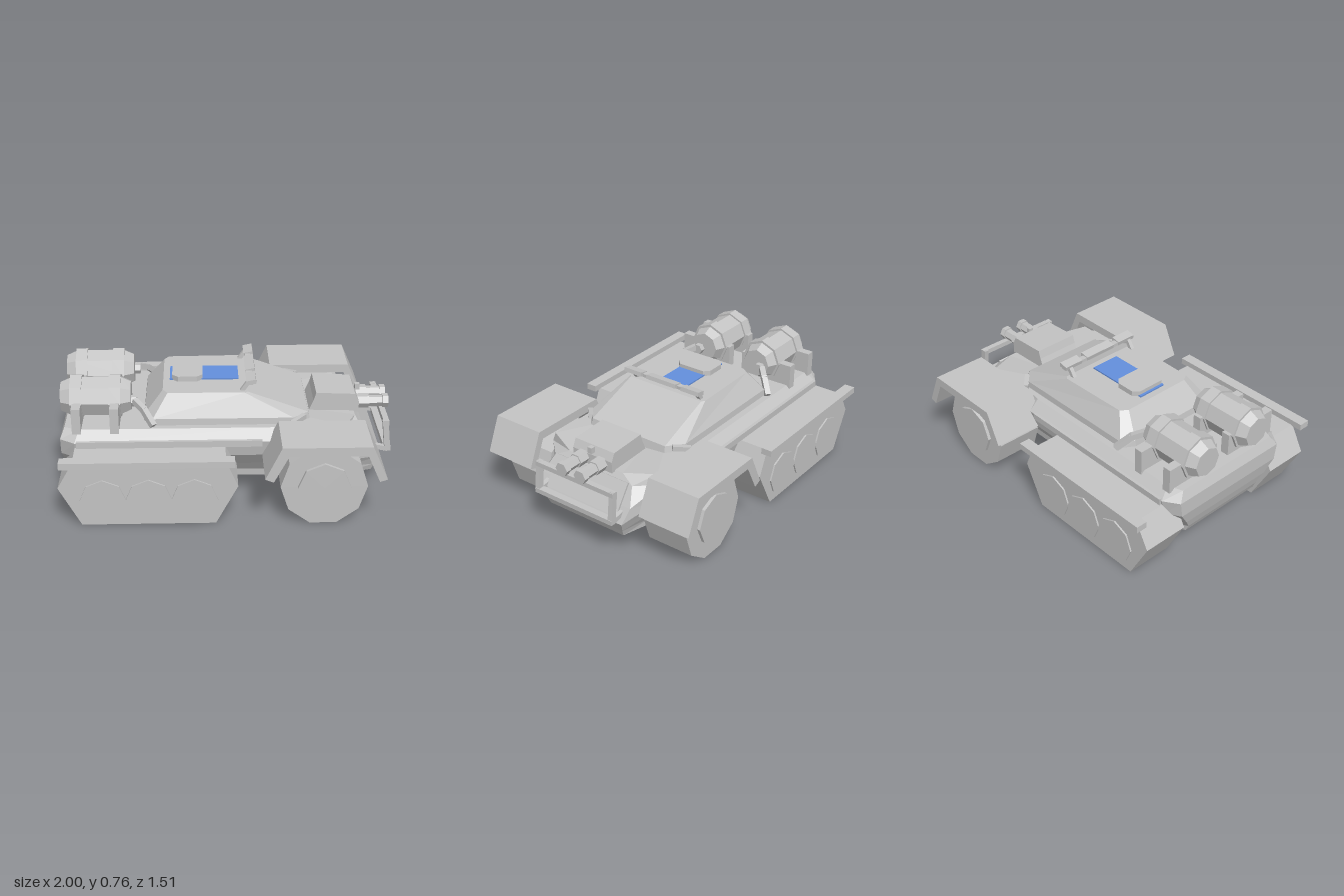
import * as THREE from 'three';

export function createModel() {
  const model = new THREE.Group();
  model.name = 'armouredHalfTrack';
  const grey = new THREE.MeshStandardMaterial({ color: 0xc4c4c4, flatShading: true });
  grey.name = 'hull grey';
  const blue = new THREE.MeshStandardMaterial({ color: 0x6490dd, flatShading: true });
  blue.name = 'panel blue';

  function add(name, geo, mat = grey) {
    const mesh = new THREE.Mesh(geo, mat);
    mesh.name = name;
    model.add(mesh);
    return mesh;
  }
  // Box given by its limits on each axis
  function box(name, x0, x1, y0, y1, z0, z1, mat) {
    const geo = new THREE.BoxGeometry(x1 - x0, y1 - y0, Math.abs(z1 - z0));
    geo.translate((x0 + x1) / 2, (y0 + y1) / 2, (z0 + z1) / 2);
    return add(name, geo, mat);
  }
  // Rectangular bar between two points
  function beam(name, a, b, w, d = w) {
    const p = new THREE.Vector3(...a), q = new THREE.Vector3(...b);
    const mesh = add(name, new THREE.BoxGeometry(w, d, p.distanceTo(q)));
    mesh.position.copy(p).add(q).multiplyScalar(0.5);
    mesh.lookAt(q);
  }
  // Side profile extruded between two z values
  function sideProfile(name, points, z0, z1) {
    const shape = new THREE.Shape(points.map(([x, y]) => new THREE.Vector2(x, y)));
    const geo = new THREE.ExtrudeGeometry(shape, { depth: Math.abs(z1 - z0), bevelEnabled: false });
    add(name, geo.translate(0, 0, Math.min(z0, z1)));
  }
  // Polygonal disc with its axle along z
  function disc(name, x, y, z, r, width, sides, turn = 0) {
    const geo = new THREE.CylinderGeometry(r, r, width, sides);
    add(name, geo.rotateY(turn).rotateX(Math.PI / 2).translate(x, y, z));
  }
  // Polygonal drum along x, with radius r0 at x0 and r1 at x1
  function drum(name, x0, x1, y, z, r0, sides, r1 = r0) {
    const geo = new THREE.CylinderGeometry(r0, r1, x1 - x0, sides);
    add(name, geo.rotateZ(Math.PI / 2).translate((x0 + x1) / 2, y, z));
  }
  // Solid from stacked rings; each half ring of [x, z, lift] is mirrored in z
  function loft(name, levels) {
    const rings = levels.map(({ y, half }) => [
      ...half.map(([x, z, lift = 0]) => [x, y + lift, z]),
      ...[...half].reverse().map(([x, z, lift = 0]) => [x, y + lift, -z]),
    ]);
    const pos = [], n = rings[0].length;
    const tri = (a, b, c) => pos.push(...a, ...b, ...c);
    for (let k = 0; k < rings.length - 1; k++) {
      for (let i = 0; i < n; i++) {
        const j = (i + 1) % n, lo = rings[k], hi = rings[k + 1];
        tri(lo[i], lo[j], hi[j]);
        tri(lo[i], hi[j], hi[i]);
      }
    }
    const bottom = rings[0], top = rings[rings.length - 1];
    const middle = [0, levels[0].y, 0], peak = [0, levels[levels.length - 1].y, 0];
    for (let i = 0; i < n; i++) {
      const j = (i + 1) % n;
      tri(middle, bottom[j], bottom[i]);
      tri(peak, top[i], top[j]);
    }
    const geo = new THREE.BufferGeometry();
    geo.setAttribute('position', new THREE.Float32BufferAttribute(pos, 3));
    geo.computeVertexNormals();
    add(name, geo);
  }

  // Hull: y, rear x, front x, rear/mid/front half widths, nose half width, nose lift
  const hullLevels = [
    [0.14, -0.94, 0.885, 0.29, 0.33, 0.33, 0.28, 0],
    [0.185, -0.96, 0.905, 0.29, 0.335, 0.335, 0.29, 0],
    [0.25, -0.98, 0.935, 0.33, 0.38, 0.37, 0.31, 0],
    [0.34, -1.0, 0.88, 0.39, 0.445, 0.41, 0.33, 0],
    [0.44, -1.0, 0.81, 0.405, 0.465, 0.41, 0.29, 0],
    [0.5, -0.975, 0.78, 0.365, 0.4, 0.385, 0.2, -0.02],
  ];
  loft('hull', hullLevels.map(([y, xr, xf, zr, zm, zf, zn, lift]) => ({
    y, half: [[xr, zr], [xr + 0.09, zm], [0.25, zm], [0.34, zf], [0.7, zf], [xf, zn, lift]],
  })));
  box('keel', -0.9, 0.72, 0.122, 0.16, -0.275, 0.275);
  const glacis = add('glacisPanel', new THREE.BoxGeometry(0.025, 0.2, 0.53));
  glacis.position.set(0.862, 0.365, 0);
  glacis.rotation.z = 0.6;

  // Sloped crew compartment
  loft('crewCompartment', [
    { y: 0.48, half: [[-0.51, 0.28], [-0.46, 0.36], [0.41, 0.36], [0.5, 0.28]] },
    { y: 0.54, half: [[-0.5, 0.28], [-0.45, 0.355], [0.39, 0.355], [0.485, 0.275]] },
    { y: 0.675, half: [[-0.39, 0.23], [-0.36, 0.275], [0.1, 0.285], [0.12, 0.27]] },
  ]);

  // Roof panel and chamfered hatch
  box('roofPanel', -0.35, 0.07, 0.677, 0.686, -0.095, 0.095, blue);
  const hatch = new THREE.Shape([
    [-0.335, -0.09], [-0.3, -0.122], [-0.185, -0.122], [-0.15, -0.09],
    [-0.15, 0.09], [-0.185, 0.122], [-0.3, 0.122], [-0.335, 0.09],
  ].map(([x, z]) => new THREE.Vector2(x, z)));
  add('roofHatch', new THREE.ExtrudeGeometry(hatch, { depth: 0.033, bevelEnabled: false })
    .rotateX(-Math.PI / 2).translate(0, 0.677, 0));

  // Light bar on the roof
  for (const [z0, z1] of [[-0.28, -0.15], [-0.11, 0.11], [0.15, 0.28]]) {
    const lamp = add('roofLamp', new THREE.BoxGeometry(0.058, 0.026, z1 - z0));
    lamp.position.set(0.14, 0.738, (z0 + z1) / 2);
    lamp.rotation.z = 0.2;
  }
  box('lightBar', 0.115, 0.15, 0.722, 0.742, -0.28, 0.28);

  // Front weapon housing with sight
  sideProfile('weaponHousing',
    [[0.5, 0.48], [0.81, 0.47], [0.81, 0.54], [0.785, 0.592], [0.545, 0.602], [0.53, 0.55]], -0.145, 0.145);
  box('sightPost', 0.8, 0.83, 0.56, 0.597, -0.015, 0.015);

  // Bull bar cross pieces
  box('upperBullBar', 0.945, 0.98, 0.445, 0.475, -0.29, 0.29);
  box('lowerBullBar', 0.955, 0.998, 0.272, 0.302, -0.29, 0.29);

  box('frontAxle', 0.5, 0.6, 0.2, 0.3, -0.4, 0.4);

  for (const s of [1, -1]) {
    // Tracks with three road wheels
    sideProfile('track', [[-1, 0.25], [-0.87, 0.003], [-0.08, 0.003], [0.05, 0.25], [-0.02, 0.41], [-0.91, 0.41]],
      s * 0.37, s * 0.66);
    for (let i = 0; i < 3; i++) disc('roadWheel', -0.74 + i * 0.268, 0.165, s * 0.66, 0.137, 0.02, 8);
    box('trackRail', -0.98, 0.03, 0.405, 0.445, s * 0.65, s * 0.72);
    box('hullSideBeam', -0.9, 0.2, 0.41, 0.45, s * 0.41, s * 0.474);

    // Front wheel, hub and folded fender
    disc('frontWheel', 0.552, 0.245, s * 0.52, 0.256, 0.3, 10, Math.PI / 2);
    disc('wheelHub', 0.552, 0.247, s * 0.675, 0.155, 0.03, 8);
    sideProfile('frontFender', [
      [0.2, 0.345], [0.25, 0.325], [0.335, 0.49], [0.785, 0.49],
      [0.86, 0.32], [0.905, 0.335], [0.812, 0.545], [0.295, 0.545],
    ], s * 0.41, s * 0.755);

    // Rear fuel drum with tapered ends, on its saddles
    drum('drumEnd', -1, -0.94, 0.63, s * 0.205, 0.092, 8, 0.12);
    drum('drumBody', -0.94, -0.64, 0.63, s * 0.205, 0.124, 8);
    drum('drumEnd', -0.64, -0.58, 0.63, s * 0.205, 0.12, 8, 0.092);
    for (const x of [-0.94, -0.71]) drum('drumBand', x, x + 0.07, 0.63, s * 0.205, 0.136, 8);
    for (const x of [-0.925, -0.7]) box('drumSaddle', x, x + 0.053, 0.48, 0.64, s * 0.05, s * 0.423);
    drum('drumCap', -0.59, -0.545, 0.61, s * 0.24, 0.035, 6);
    beam('fuelPipe', [-0.56, 0.62, s * 0.26], [-0.5, 0.585, s * 0.32], 0.035);
    beam('fuelPipe', [-0.51, 0.595, s * 0.31], [-0.445, 0.51, s * 0.385], 0.035);
    beam('compartmentBrace', [0.38, 0.515, s * 0.385], [0.46, 0.53, s * 0.31], 0.03);

    // Lamp strut, barrel and bull bar supports
    beam('lightBarStrut', [0.085, 0.67, s * 0.24], [0.13, 0.735, s * 0.24], 0.025);
    drum('barrel', 0.8, 1, 0.51, s * 0.068, 0.036, 6);
    drum('barrelSleeve', 0.8, 0.88, 0.51, s * 0.068, 0.045, 6);
    drum('muzzle', 0.965, 1, 0.51, s * 0.068, 0.044, 6);
    beam('bullBarPost', [0.957, 0.475, s * 0.275], [0.98, 0.275, s * 0.275], 0.03, 0.035);
    beam('bullBarFoot', [0.98, 0.285, s * 0.275], [0.86, 0.31, s * 0.275], 0.03);
  }
  return model;
}
